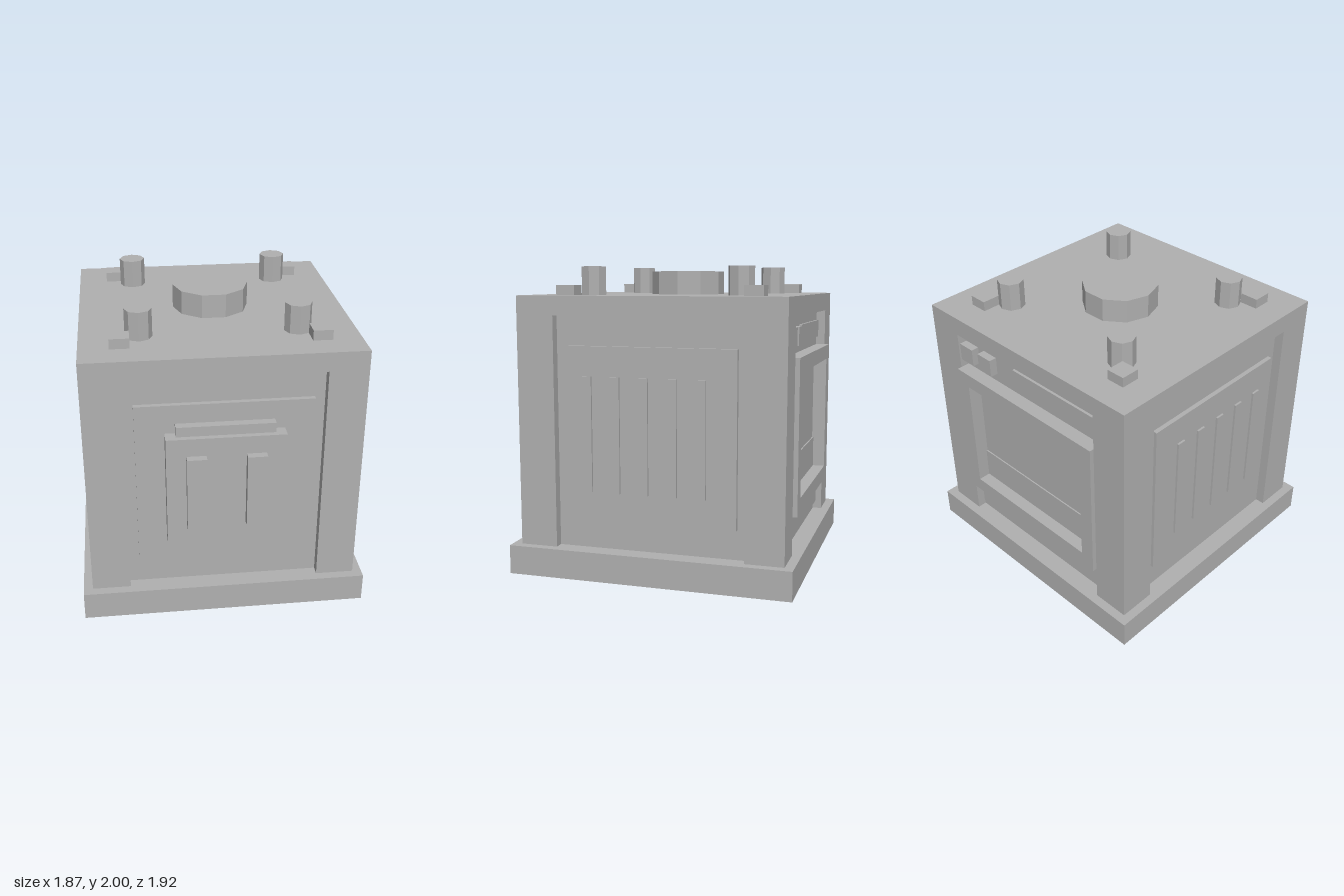
import * as THREE from 'three';

export function createModel() {
  const model = new THREE.Group();
  model.name = 'stove';
  const grey = new THREE.MeshStandardMaterial({ color: 0xb0b0b0 });
  grey.name = 'grey';

  const add = (name, geometry) => {
    const mesh = new THREE.Mesh(geometry, grey);
    mesh.name = name;
    model.add(mesh);
    return mesh;
  };
  // Box given by its extents on each axis
  const box = (name, x0, x1, y0, y1, z0, z1) =>
    add(name, new THREE.BoxGeometry(x1 - x0, y1 - y0, z1 - z0)
      .translate((x0 + x1) / 2, (y0 + y1) / 2, (z0 + z1) / 2));
  // Faceted upright cylinder standing on the top plate
  const prism = (name, x, z, r, y1, sides) => {
    const g = new THREE.CylinderGeometry(r, r, y1 - TOP, sides).toNonIndexed();
    g.rotateY(Math.PI / 2).translate(x, (TOP + y1) / 2, z);
    g.computeVertexNormals();
    return add(name, g);
  };

  const TOP = 1.815, FLOOR = 0.19, LINTEL = 1.69;
  const FRONT = 0.85, BACK = -0.9;         // outer frame planes
  const CORE_F = 0.7875, CORE_B = -0.8375; // recessed planes
  const CORE_X = 0.8125;

  // Plinth, recessed core and surrounding frame
  box('plinth', -0.935, 0.935, 0, FLOOR, -0.96, 0.91);
  box('core', -CORE_X, CORE_X, FLOOR, LINTEL, CORE_B, CORE_F);
  box('topPlate', -0.875, 0.875, LINTEL, TOP, BACK, FRONT);
  for (const [x0, x1] of [[-0.875, -0.625], [0.625, 0.875]]) {
    box('frontPost', x0, x1, FLOOR, LINTEL, 0.6, FRONT);
    box('backPost', x0, x1, FLOOR, LINTEL, BACK, -0.65);
  }

  // Front: panel, raised box with ledge and two bars
  box('frontPanel', -0.56, 0.56, 0.38, 1.5, CORE_F, 0.82);
  box('frontBox', -0.375, 0.375, 0.565, 1.31, 0.82, 0.91);
  box('frontLedge', -0.31, 0.31, 1.31, 1.375, 0.82, 0.875);
  for (const x of [-0.1875, 0.1875])
    box('frontBar', x - 0.0625, x + 0.0625, 0.69, 1.19, 0.91, 0.96);

  // Sides: panels with five upright slats
  for (const s of [-1, 1]) {
    const side = (name, a, b, y0, y1, z0, z1) =>
      box(name, Math.min(s * a, s * b), Math.max(s * a, s * b), y0, y1, z0, z1);
    side('sidePanel', CORE_X, 0.842, 0.38, 1.5, -0.59, 0.54);
    for (let i = 0; i < 5; i++) {
      const z = 0.385 - i * 0.1875;
      side('sideSlat', 0.842, 0.856, 0.565, 1.31, z - 0.031, z + 0.031);
    }
  }

  // Back: framed oven door with window opening
  const door = new THREE.Shape([[-0.625, 0.44], [0.625, 0.44], [0.625, 1.44], [-0.625, 1.44]]
    .map(([x, y]) => new THREE.Vector2(x, y)));
  door.holes.push(new THREE.Path([[-0.525, 0.54], [-0.525, 1.34], [0.525, 1.34], [0.525, 0.54]]
    .map(([x, y]) => new THREE.Vector2(x, y))));
  add('ovenDoor', new THREE.ExtrudeGeometry(door, { depth: 0.0925, bevelEnabled: false }))
    .position.z = -0.93;
  box('windowLowerPane', -0.525, 0.525, 0.54, 0.755, CORE_B - 0.009, CORE_B);

  // Back: controls above the door and drawer below it
  for (const x of [0.5, 0.32])
    box('controlKnob', x, x + 0.122, 1.5, 1.62, -0.89, CORE_B);
  box('controlDisplay', -0.6, 0.14, 1.5, 1.62, -0.855, CORE_B);
  box('lowerDrawer', -0.6, 0.6, 0.25, 0.375, -0.86, CORE_B);

  // Top: central burner, corner pegs and small blocks
  prism('burner', 0, -0.03, 0.25, 1.97, 10);
  for (const s of [-1, 1]) {
    const x0 = s > 0 ? 0.56 : -0.685;
    for (const [pegZ, blockZ] of [[-0.53, -0.7125], [0.47, 0.533]]) {
      prism('cornerPeg', s * 0.5, pegZ, 0.086, 2, 8);
      box('cornerBlock', x0, x0 + 0.125, TOP, 1.88, blockZ, blockZ + 0.125);
    }
  }
  return model;
}
